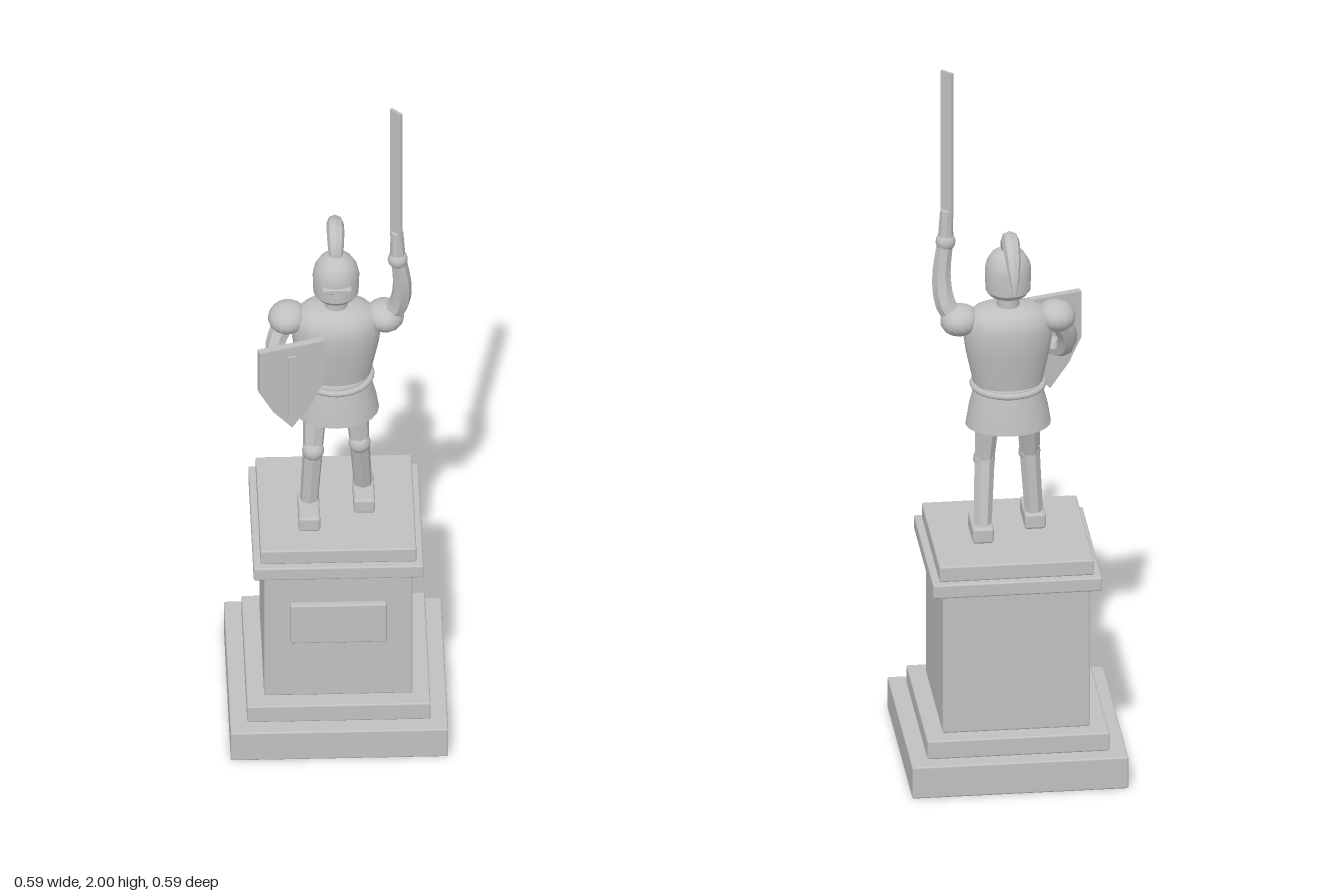
import * as THREE from 'three';
import { toCreasedNormals } from 'three/addons/utils/BufferGeometryUtils.js';
import { RoundedBoxGeometry } from 'three/addons/geometries/RoundedBoxGeometry.js';

const V = (x, y, z) => new THREE.Vector3(x, y, z);

export function createModel() {
  const stone = new THREE.MeshStandardMaterial({ color: 0xc0c0c0 });
  stone.name = 'grey stone';
  const model = new THREE.Group();
  model.name = 'knightStatue';

  const add = (name, geo, x = 0, y = 0, z = 0, parent = model) => {
    const m = new THREE.Mesh(geo, stone);
    m.name = name;
    m.position.set(x, y, z);
    parent.add(m);
    return m;
  };
  const block = (name, w, h, d, x, y, z, r = 0.005) =>
    add(name, new RoundedBoxGeometry(w, h, d, 2, r), x, y, z);
  const ball = (name, r, x, y, z) => add(name, new THREE.SphereGeometry(r, 16, 12), x, y, z);
  // Round body part, squashed in depth
  const lathe = (name, pts, depth = 1, seg = 20) => {
    const g = new THREE.LatheGeometry(pts.map(([r, y]) => new THREE.Vector2(r, y)), seg);
    g.scale(1, 1, depth);
    return add(name, toCreasedNormals(g, 0.6));
  };
  // Straight tapered limb between two points
  const limb = (name, a, b, ra, rb, seg = 7) => {
    const m = add(name, toCreasedNormals(new THREE.CylinderGeometry(rb, ra, a.distanceTo(b), seg), 0.4));
    m.position.copy(a).add(b).multiplyScalar(0.5);
    m.quaternion.setFromUnitVectors(V(0, 1, 0), b.clone().sub(a).normalize());
    return m;
  };
  // Curved tube whose radius follows a rule
  const taperTube = (name, pts, radiusAt, seg = 8, n = 16) => {
    const curve = new THREE.CatmullRomCurve3(pts);
    const g = new THREE.TubeGeometry(curve, n, 1, seg);
    const p = g.attributes.position;
    for (let i = 0; i <= n; i++) {
      const c = curve.getPointAt(i / n);
      for (let j = 0; j <= seg; j++) {
        const k = i * (seg + 1) + j;
        const v = V(0, 0, 0).fromBufferAttribute(p, k).sub(c).multiplyScalar(radiusAt(i / n)).add(c);
        p.setXYZ(k, v.x, v.y, v.z);
      }
    }
    return add(name, toCreasedNormals(g, 0.6));
  };

  // Pedestal: width, bottom, top
  [['pedestalBase', 0.586, 0, 0.093], ['pedestalStep', 0.494, 0.093, 0.147],
    ['pedestalShaft', 0.4, 0.147, 0.56], ['pedestalCornice', 0.458, 0.56, 0.6],
    ['pedestalCap', 0.42, 0.6, 0.645]].forEach(([n, w, a, b]) =>
    block(n, w, b - a, w, 0, (a + b) / 2, 0));
  block('plaque', 0.26, 0.128, 0.03, 0, 0.398, 0.201);

  // Legs, right foot forward
  [['right', -1, 0.04, 0.035, 0.065], ['left', 1, 0.01, -0.035, -0.012]].forEach(([s, x, kz, az, fz]) => {
    const hip = V(x * 0.055, 1.0, 0.005), knee = V(x * 0.063, 0.86, kz), ankle = V(x * 0.074, 0.675, az);
    limb(s + 'Thigh', knee, hip, 0.027, 0.035);
    limb(s + 'Shin', ankle, knee, 0.025, 0.028);
    ball(s + 'Knee', 0.03, knee.x, knee.y, knee.z + 0.004);
    block(s + 'Boot', 0.058, 0.045, 0.125, x * 0.075, 0.667, fz, 0.008);
  });

  // Body
  lathe('skirt', [[0, 0.97], [0.116, 0.97], [0.108, 1.02], [0.09, 1.09], [0, 1.09]], 0.83);
  lathe('torso', [[0, 1.07], [0.09, 1.07], [0.1, 1.12], [0.115, 1.19], [0.123, 1.25],
    [0.116, 1.285], [0.095, 1.308], [0.07, 1.318], [0, 1.32]], 0.7);
  const belt = new THREE.TorusGeometry(0.095, 0.009, 8, 28);
  belt.rotateX(Math.PI / 2);
  add('belt', belt, 0, 1.087, 0);
  add('neck', new THREE.CylinderGeometry(0.03, 0.032, 0.07, 12), 0, 1.335, 0);

  // Helmet with visor and plume
  lathe('helmet', [[0, 1.352], [0.05, 1.352], [0.061, 1.366], [0.063, 1.425], [0.058, 1.448],
    [0.045, 1.47], [0.024, 1.484], [0, 1.487]]);
  block('visor', 0.08, 0.014, 0.022, 0, 1.41, 0.056, 0.003);
  taperTube('plume', [V(0, 1.465, 0), V(0, 1.505, -0.012), V(0, 1.533, -0.05),
    V(0, 1.515, -0.105), V(0, 1.47, -0.142), V(0, 1.418, -0.164)],
    t => 0.003 + 0.021 * Math.sin(Math.PI * (0.2 + 0.8 * t)) ** 0.8, 8, 18);

  // Shoulder guards
  [-1, 1].forEach(x => {
    const s = ball(x < 0 ? 'rightShoulder' : 'leftShoulder', 0.053, x * 0.131, 1.28, 0);
    s.scale.set(1, 0.8, 1.05);
    s.rotation.z = x * -0.15;
  });

  // Raised left arm and sword
  taperTube('leftArm', [V(0.135, 1.275, 0), V(0.168, 1.325, 0.012), V(0.177, 1.4, 0.028), V(0.166, 1.5, 0.036)],
    t => 0.031 - 0.009 * t, 7, 8);
  ball('leftHand', 0.027, 0.165, 1.498, 0.037);
  limb('swordGrip', V(0.165, 1.49, 0.037), V(0.163, 1.59, 0.037), 0.022, 0.017, 8);
  const blade = add('swordBlade', new THREE.BoxGeometry(0.038, 0.43, 0.008), 0.161, 1.785, 0.039);
  blade.rotation.y = -Math.PI / 4;

  // Bent right arm and shield
  taperTube('rightArm', [V(-0.135, 1.27, 0), V(-0.163, 1.21, 0.025), V(-0.155, 1.155, 0.06), V(-0.115, 1.15, 0.1)],
    t => 0.03 - 0.006 * t, 7, 8);
  ball('rightHand', 0.026, -0.118, 1.15, 0.098);
  const shield = new THREE.Group();
  shield.name = 'shield';
  shield.position.set(-0.125, 0, 0.127);
  shield.rotation.y = 0.285;
  model.add(shield);
  const outline = new THREE.Shape([[-0.092, 1.28], [-0.092, 1.145], [-0.055, 1.075], [0, 1.008],
    [0.055, 1.075], [0.092, 1.145], [0.092, 1.28]].map(([x, y]) => new THREE.Vector2(x, y)));
  add('shieldPlate', new THREE.ExtrudeGeometry(outline, { depth: 0.02, bevelEnabled: false }), 0, 0, -0.01, shield);
  add('shieldRidge', new THREE.BoxGeometry(0.022, 0.2, 0.008), 0, 1.15, 0.011, shield);

  return model;
}
